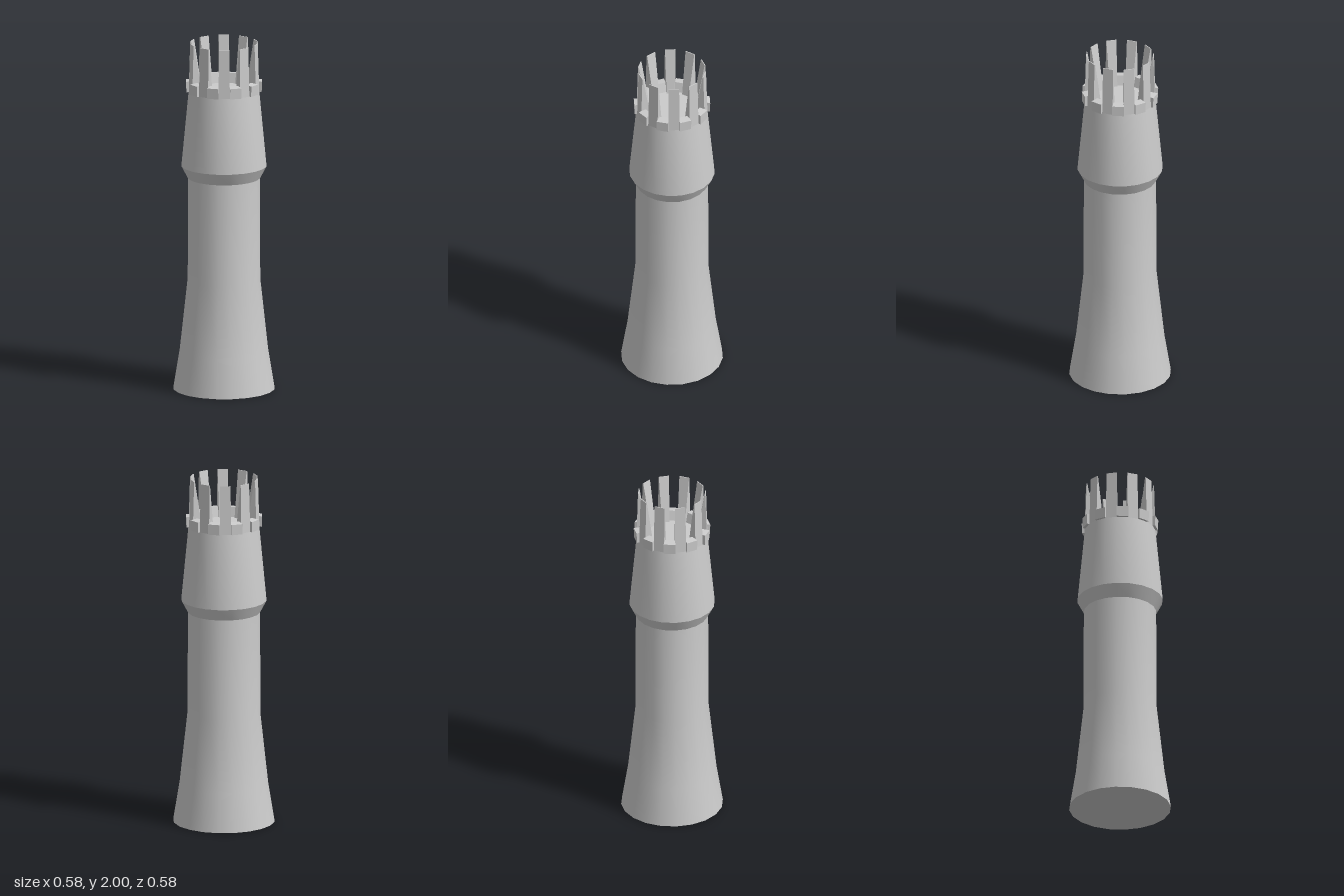
import * as THREE from 'three';
import { toCreasedNormals } from 'three/addons/utils/BufferGeometryUtils.js';

const SIDES = 20;
const STEP = (Math.PI * 2) / SIDES;

// Box bent into one ring segment; each corner is given as [radius, height].
function segment(start, { innerLow, outerLow, innerTop, outerTop }) {
  const geo = new THREE.BoxGeometry(1, 1, 1);
  const p = geo.attributes.position;
  for (let i = 0; i < p.count; i++) {
    const outer = p.getZ(i) > 0;
    const top = p.getY(i) > 0;
    const [r, y] = top ? (outer ? outerTop : innerTop) : (outer ? outerLow : innerLow);
    const a = start + (p.getX(i) > 0 ? STEP : 0);
    p.setXYZ(i, r * Math.sin(a), y, r * Math.cos(a));
  }
  geo.computeVertexNormals();
  return geo;
}

export function createModel() {
  const group = new THREE.Group();
  group.name = 'tower';
  const material = new THREE.MeshStandardMaterial({ color: 0xcccccc });

  // Flared shaft, projecting collar and tapered head, closed by the platform
  const profile = [
    [0, 0], [0.288, 0], [0.252, 0.22], [0.207, 0.63], [0.205, 1.22],
    [0.242, 1.29], [0.2, 1.73], [0, 1.73],
  ].map(([r, y]) => new THREE.Vector2(r, y));
  const shaft = new THREE.Mesh(
    toCreasedNormals(new THREE.LatheGeometry(profile, SIDES), 0.45), material);
  shaft.name = 'shaft';
  group.add(shaft);

  // Crown: tall wedge merlons alternating with low sill blocks
  const merlon = {
    innerLow: [0.14, 1.72], outerLow: [0.201, 1.72],
    innerTop: [0.188, 2], outerTop: [0.193, 2],
  };
  const sill = {
    innerLow: [0.152, 1.72], outerLow: [0.215, 1.72],
    innerTop: [0.172, 1.785], outerTop: [0.217, 1.78],
  };
  const crown = new THREE.Group();
  crown.name = 'crown';
  for (let i = 0; i < SIDES; i++) {
    const tall = i % 2 === 0;
    const block = new THREE.Mesh(segment(i * STEP, tall ? merlon : sill), material);
    block.name = tall ? 'merlon' : 'sill';
    crown.add(block);
  }
  group.add(crown);
  return group;
}
